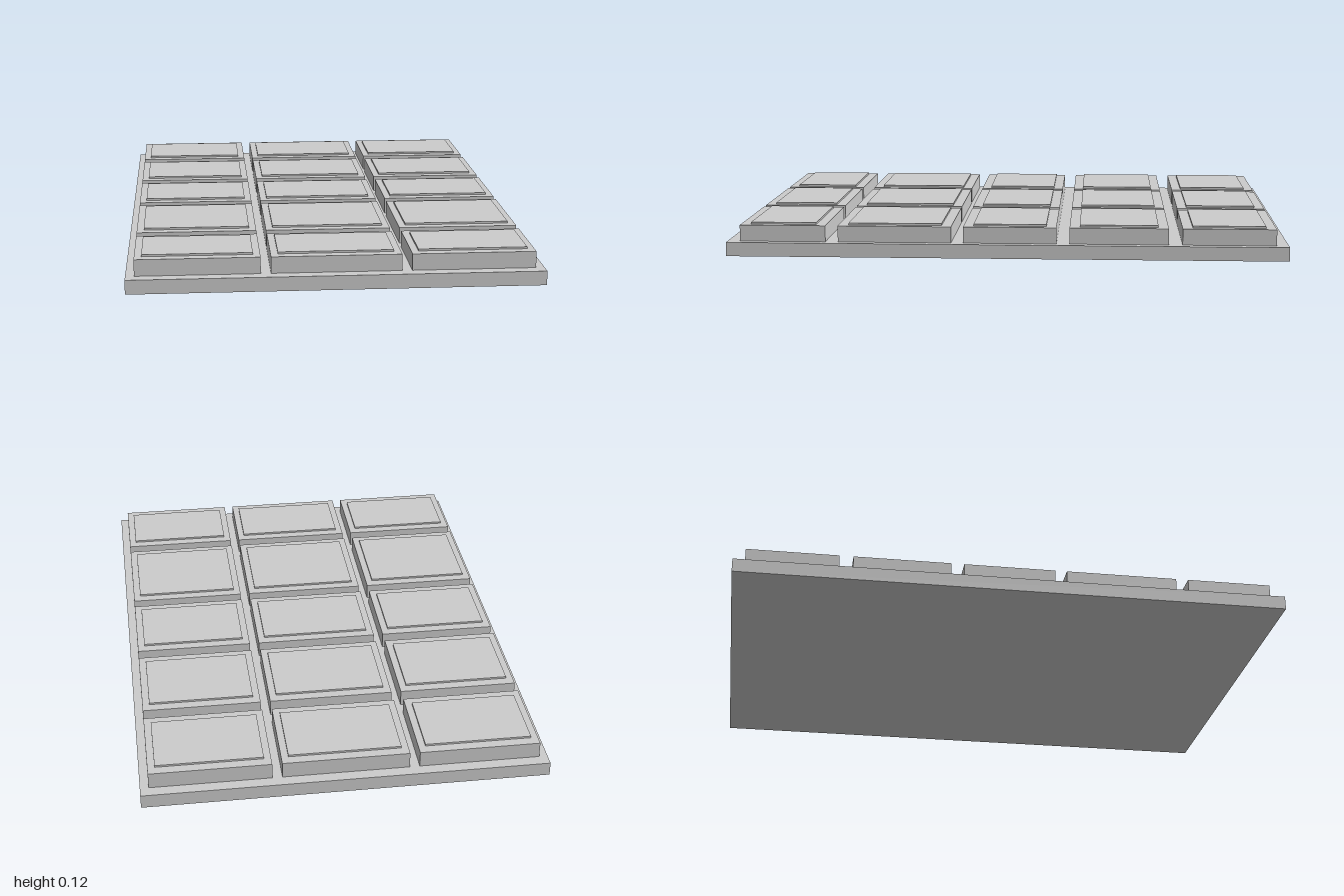
import * as THREE from 'three';

const BASE_TOP = 0.05, BLOCK_TOP = 0.108, PANEL_TOP = 0.115;
const INSET_X = 0.025, INSET_Z = 0.036;

// [min, max] extents of the columns (x) and rows (z)
const COLUMNS = [[-0.687, -0.259], [-0.224, 0.224], [0.259, 0.687]];
const ROWS = [[-0.957, -0.626], [-0.577, -0.226], [-0.179, 0.153], [0.196, 0.602], [0.647, 0.955]];

const material = new THREE.MeshStandardMaterial({ color: 0xcccccc, flatShading: true });

// Box given by its extents on each axis
function slab(name, [x0, x1], [y0, y1], [z0, z1]) {
  const mesh = new THREE.Mesh(new THREE.BoxGeometry(x1 - x0, y1 - y0, z1 - z0), material);
  mesh.position.set((x0 + x1) / 2, (y0 + y1) / 2, (z0 + z1) / 2);
  mesh.name = name;
  return mesh;
}

const inset = ([a, b], d) => [a + d, b - d];

export function createModel() {
  const model = new THREE.Group();
  model.name = 'panelledSlab';

  // Flat backing plate
  model.add(slab('basePlate', [-0.717, 0.717], [0, BASE_TOP], [-1, 1]));

  // Grid of blocks, each with a thin raised panel
  ROWS.forEach((z, row) => COLUMNS.forEach((x, column) => {
    const tile = new THREE.Group();
    tile.name = `tileRow${row + 1}Column${column + 1}`;
    tile.add(
      slab('block', x, [BASE_TOP, BLOCK_TOP], z),
      slab('raisedPanel', inset(x, INSET_X), [BLOCK_TOP, PANEL_TOP], inset(z, INSET_Z)),
    );
    model.add(tile);
  }));

  return model;
}
